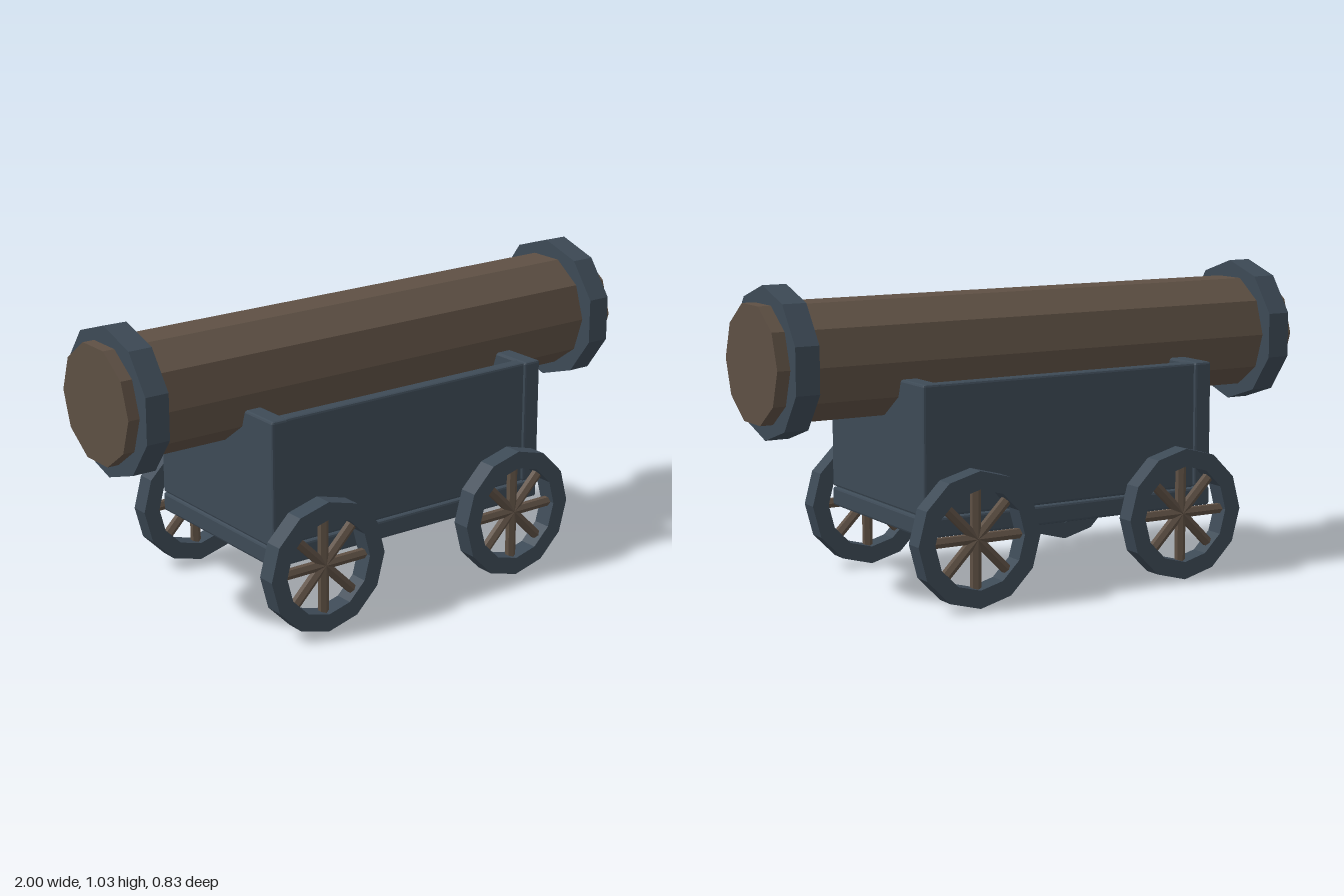
import * as THREE from 'three';
import { RoundedBoxGeometry } from 'three/addons/geometries/RoundedBoxGeometry.js';

const wood = new THREE.MeshStandardMaterial({ color: 0x5e5044, flatShading: true });
const iron = new THREE.MeshStandardMaterial({ color: 0x3d4a56, flatShading: true });

function add(parent, name, geometry, material, x = 0, y = 0, z = 0) {
  const mesh = new THREE.Mesh(geometry, material);
  mesh.name = name;
  mesh.position.set(x, y, z);
  parent.add(mesh);
  return mesh;
}

// Faceted flat ring around the z axis, first corner at the top
function ringGeometry(sides, outer, inner, depth) {
  const polygon = (r) => Array.from({ length: sides }, (_, i) => {
    const a = Math.PI / 2 + (i / sides) * Math.PI * 2;
    return new THREE.Vector2(r * Math.cos(a), r * Math.sin(a));
  });
  const shape = new THREE.Shape(polygon(outer));
  shape.holes.push(new THREE.Path(polygon(inner)));
  return new THREE.ExtrudeGeometry(shape, { depth, bevelEnabled: false }).translate(0, 0, -depth / 2);
}

// Board with slightly chamfered edges
const board = (w, h, d) => new RoundedBoxGeometry(w, h, d, 1, 0.008);

function createWheel() {
  const wheel = new THREE.Group();
  wheel.name = 'wheel';
  add(wheel, 'wheelRim', ringGeometry(12, 0.225, 0.165, 0.066), iron);
  // Four bars crossing at the hub make eight spokes
  for (let i = 0; i < 4; i++) {
    const bar = add(wheel, 'spokes', new THREE.CylinderGeometry(0.018, 0.018, 0.36, 6), wood);
    bar.rotation.z = (i * Math.PI) / 4;
  }
  return wheel;
}

export function createModel() {
  const model = new THREE.Group();
  model.name = 'logRamCart';

  // Log lying along x
  const log = new THREE.CylinderGeometry(0.2, 0.2, 2, 10).rotateZ(Math.PI / 2);
  add(model, 'log', log, wood, 0, 0.785, 0);

  // Iron bands near both ends
  const band = ringGeometry(10, 0.25, 0.18, 0.083).rotateY(Math.PI / 2);
  for (const x of [-0.918, 0.914]) add(model, 'logBand', band, iron, x, 0.785, 0);

  // Open-topped cart body
  add(model, 'cartFloor', board(1.116, 0.065, 0.664), iron, 0, 0.261, 0);
  for (const s of [-1, 1]) {
    add(model, 'endWall', board(0.065, 0.43, 0.664), iron, s * 0.5255, 0.511, 0);
    add(model, 'sideWall', board(1.0, 0.43, 0.05), iron, 0, 0.509, s * 0.297);
  }

  // Four wheels
  for (const x of [-0.4, 0.4]) {
    for (const z of [-0.383, 0.383]) {
      const wheel = createWheel();
      wheel.position.set(x, 0.225, z);
      model.add(wheel);
    }
  }
  return model;
}
